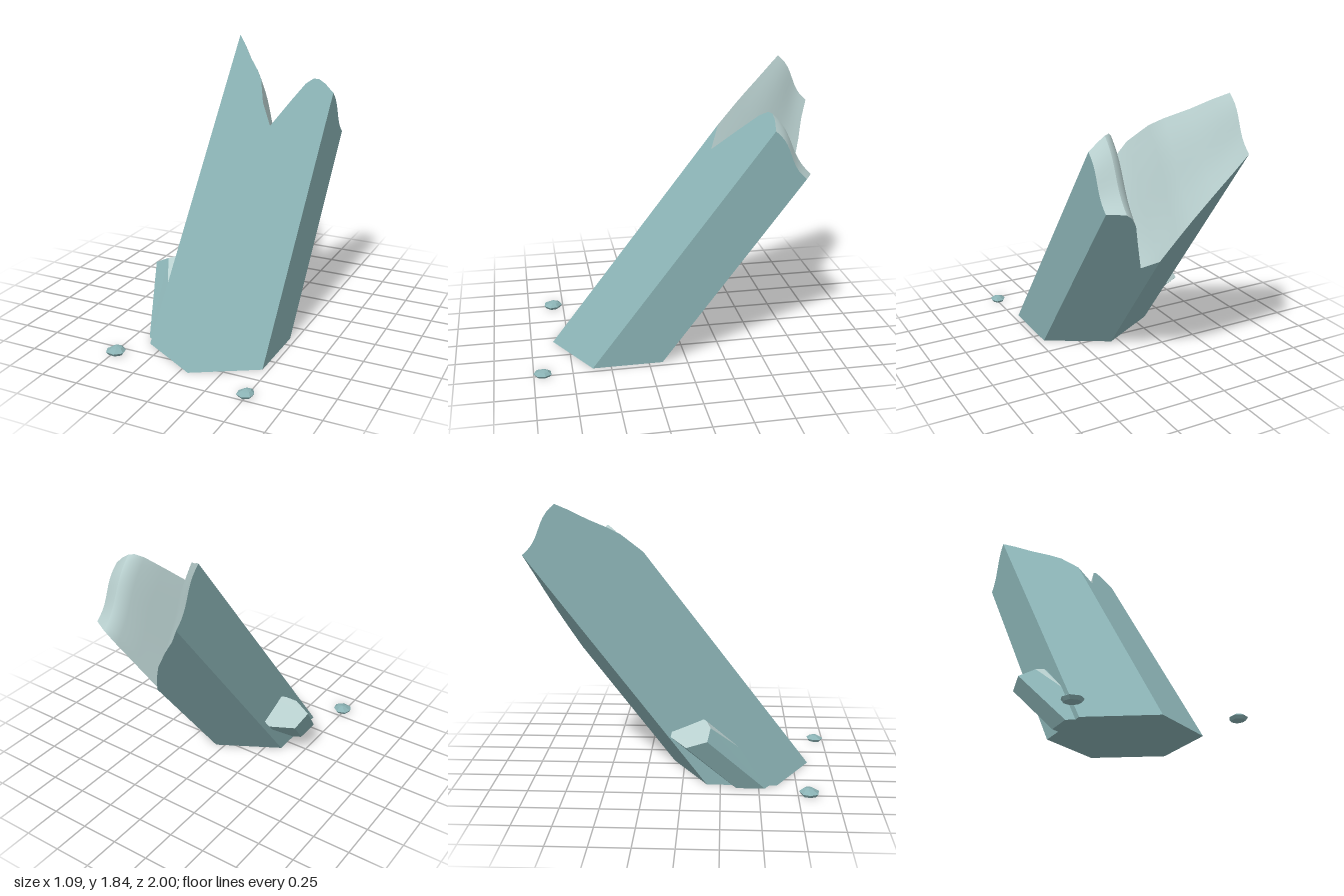
import * as THREE from 'three';

const crystalTeal = new THREE.MeshStandardMaterial({ color: 0x8ab2b4 });
crystalTeal.name = 'crystal teal';
const fracturePale = new THREE.MeshStandardMaterial({ color: 0xb9d0cf });
fracturePale.name = 'pale fracture';

// Mesh of flat polygons, each fanned from its first corner
function facets(name, material, polygons) {
  const pos = [];
  for (const p of polygons)
    for (let i = 1; i < p.length - 1; i++) pos.push(...p[0], ...p[i], ...p[i + 1]);
  const geo = new THREE.BufferGeometry();
  geo.setAttribute('position', new THREE.Float32BufferAttribute(pos, 3));
  geo.computeVertexNormals();
  const mesh = new THREE.Mesh(geo, material);
  mesh.name = name;
  return mesh;
}

// Smooth indexed sheet from rows of points
function sheet(name, material, rows) {
  const n = rows[0].length, index = [];
  for (let i = 0; i < rows.length - 1; i++)
    for (let j = 0; j < n - 1; j++) {
      const a = i * n + j, b = a + n;
      index.push(a, b, b + 1, a, b + 1, a + 1);
    }
  const geo = new THREE.BufferGeometry();
  geo.setAttribute('position', new THREE.Float32BufferAttribute(rows.flat(2), 3));
  geo.setIndex(index);
  geo.computeVertexNormals();
  const mesh = new THREE.Mesh(geo, material);
  mesh.name = name;
  return mesh;
}

// Large leaning hexagonal crystal with a notched, broken top
function mainCrystal() {
  const group = new THREE.Group();
  group.name = 'mainCrystal';
  const lean = -0.765, cx = 0.055, steps = 10;
  // x, height at the front faces, height at the back faces
  const profile = [
    [-0.35, 1.84, 1.52], [-0.28, 1.795, 1.403], [-0.19, 1.725, 1.278], [-0.08, 1.655, 1.108],
    [-0.02, 1.605, 0.99], [cx, 1.48, 0.82], [0.135, 1.34, 0.76], [0.22, 1.49, 0.967],
    [0.28, 1.59, 1.118], [0.32, 1.62, 1.18], [0.355, 1.615, 1.207], [0.4, 1.585, 1.21], [0.46, 1.53, 1.21],
  ];
  const frontZ = x => 0.853 - 0.577 * Math.abs(x - cx);
  const backZ = x => -0.073 + 0.577 * Math.abs(x - cx);
  const base = (x, t) => [x, 0, THREE.MathUtils.lerp(frontZ(x), backZ(x), t)];
  const top = ([x, yf, yb], t) => {
    const y = THREE.MathUtils.lerp(yf, yb, t) + 0.013 * Math.sin(t * Math.PI * 2);
    return [x, y, base(x, t)[2] + lean * y];
  };

  const polys = [];
  for (let i = 0; i < profile.length - 1; i++) {
    const a = profile[i], b = profile[i + 1];
    polys.push([base(a[0], 0), base(b[0], 0), top(b, 0), top(a, 0)]);
    polys.push([base(b[0], 1), base(a[0], 1), top(a, 1), top(b, 1)]);
  }
  const l = profile[0], r = profile[profile.length - 1];
  for (let j = 0; j < steps; j++) {
    const t = j / steps, u = (j + 1) / steps;
    polys.push([base(l[0], u), base(l[0], t), top(l, t), top(l, u)]);
    polys.push([base(r[0], t), base(r[0], u), top(r, u), top(r, t)]);
  }
  polys.push([base(l[0], 0), base(l[0], 1), base(cx, 1), base(r[0], 1), base(r[0], 0), base(cx, 0)]);
  group.add(facets('crystalSides', crystalTeal, polys));

  // Broken surfaces, split at the valley and the ridge
  [['rightSlope', 0, 6], ['leftSlope', 6, 10], ['leftShoulder', 10, 12]].forEach(([name, from, to]) => {
    const rows = profile.slice(from, to + 1).map(p =>
      Array.from({ length: steps + 1 }, (_, j) => top(p, j / steps)));
    group.add(sheet(name, fracturePale, rows));
  });
  return group;
}

// Small crystal growing out beside the main one, with a chipped front edge
function sideCrystal() {
  const group = new THREE.Group();
  group.name = 'sideCrystal';
  const down = ([x, y, z], d = y) => [x + 0.4 * d, y - d, z + d];
  const A = [-0.55, 0.375, 0.165], B = [-0.53, 0.325, 0.03], C = [-0.39, 0.345, -0.075];
  const D = [-0.25, 0.415, -0.055], E = [-0.27, 0.465, 0.08], F = [-0.42, 0.445, 0.19];
  const F1 = [-0.445, 0.43, 0.184], F2 = [-0.375, 0.452, 0.157];
  const tip = down(F, 0.185);
  const side = (p, q) => [down(p), down(q), q, p];
  group.add(facets('sideCrystalBody', crystalTeal, [
    side(B, A), side(C, B), side(D, C), side(E, D),
    [down(A), down(F), tip, F1, A],
    [down(E), E, F2, tip, down(F)],
    [A, B, C, D, E, F].map(p => down(p)),
  ]));
  group.add(facets('sideCrystalCap', fracturePale, [[A, F1, F2, E, D, C, B]]));
  group.add(facets('sideCrystalChip', fracturePale, [[tip, F2, F1]]));
  return group;
}

// Little faceted shard lying on the ground
function pebble(name, x, z, rx, rz, h, turn) {
  const n = 7;
  const ring = (y, s, shift) => Array.from({ length: n }, (_, i) => {
    const a = (i / n) * Math.PI * 2 + turn;
    const k = s * (1 - 0.07 * (i % 3));
    return [x + rx * (k * Math.sin(a) + shift), y, z + rz * (k * Math.cos(a) - shift)];
  });
  const low = ring(0, 0.8, 0), mid = ring(h * 0.42, 1.04, 0), high = ring(h * 0.82, 0.55, 0.08);
  const peak = [x - rx * 0.05, h, z - rz * 0.15];
  const polys = [low.slice().reverse()];
  for (let i = 0; i < n; i++) {
    const j = (i + 1) % n;
    polys.push([low[i], low[j], mid[j], mid[i]]);
    polys.push([mid[i], mid[j], high[j]], [mid[i], high[j], high[i]]);
    polys.push([high[i], high[j], peak]);
  }
  return facets(name, crystalTeal, polys);
}

export function createModel() {
  const model = new THREE.Group();
  model.name = 'crystalCluster';
  model.add(
    mainCrystal(),
    sideCrystal(),
    pebble('rightShard', -0.485, 0.822, 0.072, 0.063, 0.05, 0.3),
    pebble('leftShard', 0.493, 0.942, 0.058, 0.058, 0.043, 0),
  );
  return model;
}
